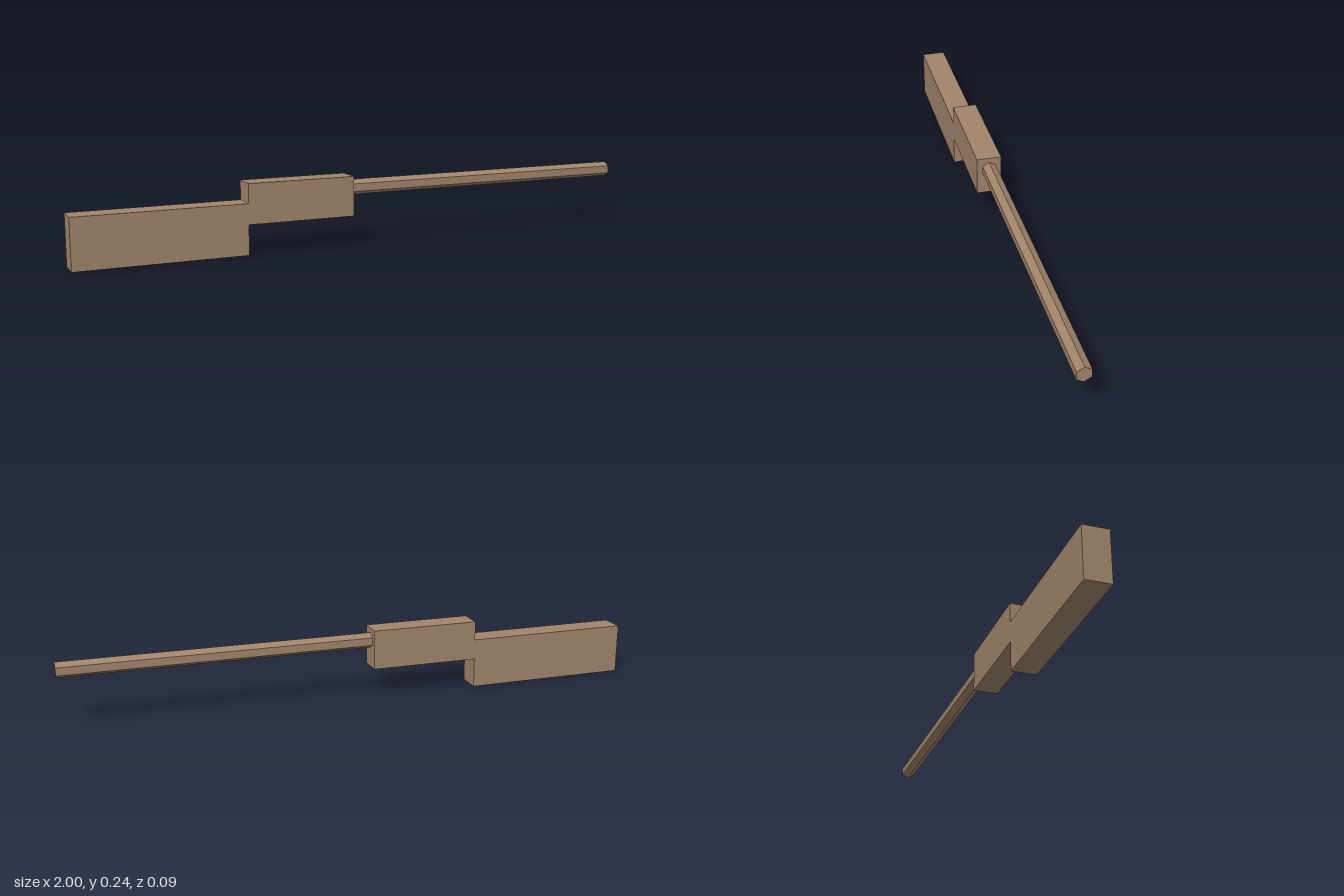
import * as THREE from 'three';

export function createModel() {
  const group = new THREE.Group();
  const brown = new THREE.MeshStandardMaterial({ color: 0xa1846b, flatShading: true });
  brown.name = 'brown';

  const depth = 0.085;
  const stockEnd = -0.427;
  const bodyEnd = -0.053;

  // Rectangular block given by its extents in x and y
  function block(name, x0, x1, y0, y1) {
    const mesh = new THREE.Mesh(new THREE.BoxGeometry(x1 - x0, y1 - y0, depth), brown);
    mesh.name = name;
    mesh.position.set((x0 + x1) / 2, (y0 + y1) / 2, 0);
    group.add(mesh);
  }

  block('stock', -1, stockEnd, 0, 0.172);
  block('body', stockEnd, bodyEnd, 0.102, 0.238);

  // Hexagonal barrel along x, with ridges at top and bottom
  const length = 1 - bodyEnd;
  const hexagon = new THREE.CylinderGeometry(0.0265, 0.0265, length, 6, 1, false, Math.PI / 2);
  hexagon.rotateZ(-Math.PI / 2);
  const barrel = new THREE.Mesh(hexagon, brown);
  barrel.name = 'barrel';
  barrel.position.set(bodyEnd + length / 2, 0.1955, 0);
  group.add(barrel);

  return group;
}
